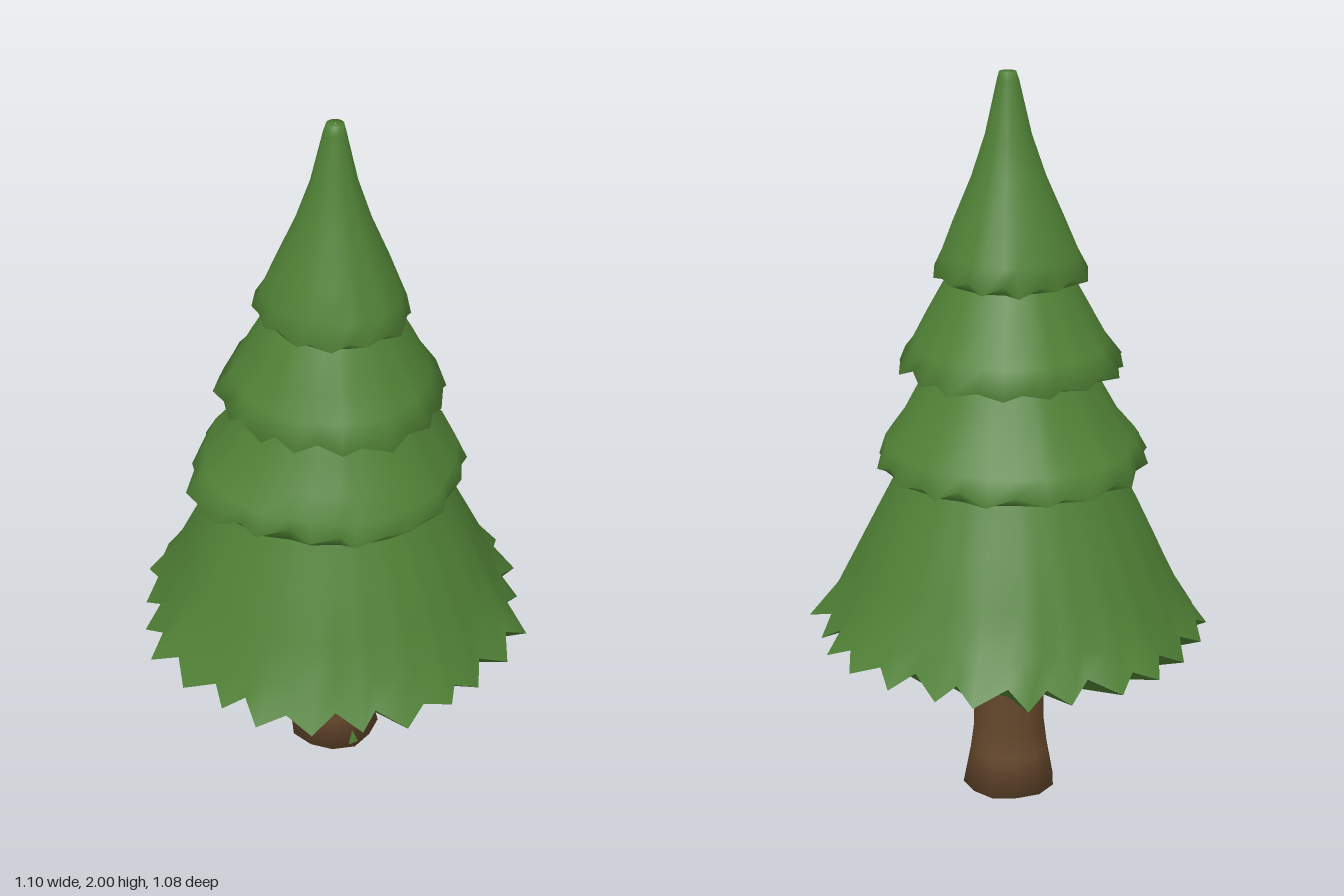
import * as THREE from 'three';
import { mergeGeometries } from 'three/addons/utils/BufferGeometryUtils.js';

// Seeded random in -1..1
function makeRandom(seed) {
  let s = seed;
  return () => {
    s = (s * 16807) % 2147483647;
    return (s / 2147483647) * 2 - 1;
  };
}

// Skin a stack of closed rings, listed from top to bottom, with smooth normals
function loft(rings) {
  const n = rings[0].length;
  const index = [];
  for (let i = 0; i < rings.length - 1; i++) {
    for (let j = 0; j < n; j++) {
      const a = i * n + j, b = i * n + (j + 1) % n;
      index.push(a + n, a, b + n, a, b, b + n);
    }
  }
  const geometry = new THREE.BufferGeometry();
  geometry.setAttribute('position', new THREE.Float32BufferAttribute(rings.flat(2), 3));
  geometry.setIndex(index);
  geometry.computeVertexNormals();
  return geometry;
}

// Radius at angle a, blended between equally spaced reaches around the trunk
function reachAt(reach, a) {
  const t = a / (Math.PI * 2) * reach.length;
  const i = Math.floor(t);
  return THREE.MathUtils.lerp(reach[i % reach.length], reach[(i + 1) % reach.length], t - i);
}

// A skirt of foliage: sloping profile, ragged rim of tips and notches, and an underside
function tierGeometry({ reach, teeth, notch, ragged, hemY, droop, profile, under, creased = false, lean = 0, seed }) {
  const random = makeRandom(seed);
  const mean = reach.reduce((sum, r) => sum + r, 0) / reach.length;
  const rim = Array.from({ length: teeth * 2 }, (_, j) => {
    const a = (j + (j ? random() * 0.25 : 0)) / (teeth * 2) * Math.PI * 2;
    const r = reachAt(reach, a) + random() * ragged;
    return { a, r: j % 2 ? r * notch : r };
  });
  // Ring that follows the rim's unevenness by the share k
  const ring = (r, y, k, zigzag = 0, dx = 0) => rim.map((p, j) => {
    const radius = r * (1 + k * (p.r / mean - 1));
    return [radius * Math.cos(p.a) + dx, y + (j % 2 ? -zigzag : zigzag), radius * Math.sin(p.a)];
  });
  const slope = profile.map(([r, y], i) => {
    const t = i / profile.length;
    return ring(r, y, 0.7 * t * t, 0, lean * (1 - t));
  });
  const edge = ring(mean, hemY, 1, -droop);
  for (const point of edge) point[1] += random() * droop * 0.7;
  const inside = under.map(([r, y, zigzag]) => ring(r, y, 0.5, zigzag));
  return creased
    ? mergeGeometries([loft([...slope, edge]), loft([edge, ...inside])])
    : loft([...slope, edge, ...inside]);
}

export function createModel() {
  const tree = new THREE.Group();
  tree.name = 'pineTree';
  const green = new THREE.MeshStandardMaterial({ color: 0x4f8035 });
  green.name = 'needle green';
  const brown = new THREE.MeshStandardMaterial({ color: 0x63462b });
  brown.name = 'bark brown';

  const add = (name, geometry, material) => {
    const mesh = new THREE.Mesh(geometry, material);
    mesh.name = name;
    tree.add(mesh);
    return mesh;
  };

  // Wide bottom skirt with two rows of needle tips
  add('bottomFoliage', tierGeometry({
    reach: Array.from({ length: 16 }, (_, i) => (i % 2 ? 0.522 : 0.55)),
    teeth: 26, notch: 0.92, ragged: 0.008, hemY: 0.503, droop: 0.014, creased: true, seed: 71,
    profile: [[0.27, 1], [0.3, 0.93], [0.36, 0.81], [0.413, 0.7], [0.465, 0.59]],
    under: [[0.46, 0.49, 0.014], [0.38, 0.51], [0.23, 0.52], [0.07, 0.52]],
  }), green);

  // Narrower tiers whose hems curl softly inward
  add('lowerFoliage', tierGeometry({
    reach: [0.375, 0.35, 0.36, 0.335, 0.41, 0.365, 0.395, 0.38],
    teeth: 17, notch: 0.96, ragged: 0.007, hemY: 0.98, droop: 0.01, seed: 523,
    profile: [[0.2, 1.25], [0.24, 1.18], [0.29, 1.09], [0.34, 1.03]],
    under: [[0.345, 0.962], [0.26, 0.985]],
  }), green);
  add('upperFoliage', tierGeometry({
    reach: [0.305, 0.3, 0.315, 0.295, 0.31, 0.305, 0.315, 0.335],
    teeth: 16, notch: 0.95, ragged: 0.007, hemY: 1.238, droop: 0.01, seed: 907,
    profile: [[0.15, 1.49], [0.18, 1.44], [0.22, 1.37], [0.262, 1.295]],
    under: [[0.26, 1.228], [0.19, 1.245]],
  }), green);
  add('topFoliage', tierGeometry({
    reach: [0.205, 0.2, 0.205, 0.185, 0.19, 0.21, 0.2, 0.21],
    teeth: 12, notch: 0.98, ragged: 0.006, hemY: 1.48, droop: 0.01, lean: 0.008, seed: 331,
    profile: [[0.001, 2], [0.022, 2], [0.028, 1.98], [0.06, 1.84], [0.097, 1.73], [0.148, 1.61], [0.178, 1.535]],
    under: [[0.175, 1.465], [0.14, 1.48]],
  }), green);

  // Trunk with a flared, slightly uneven foot and a closed base: radius, height, offset
  const trunkRings = [
    [0.09, 0.54, 0.004], [0.096, 0.4, 0.003], [0.099, 0.18, 0.003], [0.108, 0.11, 0.005], [0.128, 0.005, 0.01], [0.001, 0, 0.01],
  ].map(([r, y, shift]) => Array.from({ length: 12 }, (_, j) => {
    const a = (j / 12) * Math.PI * 2;
    const radius = r * (1 + 0.035 * Math.sin(j * 2.4));
    return [radius * Math.cos(a) + shift, y, radius * Math.sin(a) - shift];
  }));
  add('trunk', loft(trunkRings), brown);

  // Small needle sprig lying flat against the foot of the trunk
  const sprig = add('needleSprig', new THREE.CircleGeometry(0.03, 3, Math.PI / 2), green);
  sprig.scale.x = 0.6;
  sprig.position.set(0.004, 0.04, 0.121);
  sprig.rotation.x = -0.19;

  return tree;
}
